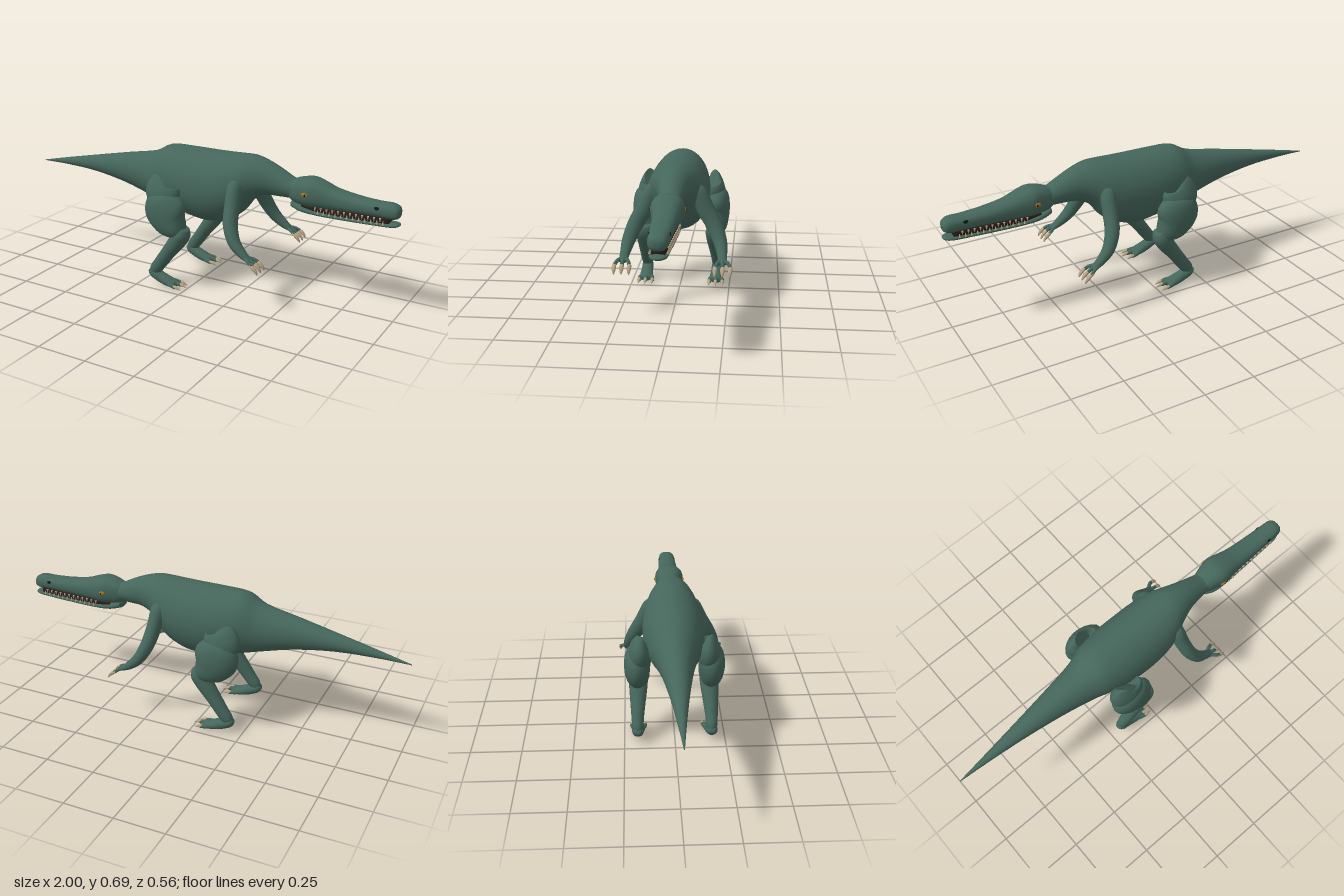
import * as THREE from 'three';

const mat = (name, color) => {
  const m = new THREE.MeshStandardMaterial({ color });
  m.name = name;
  return m;
};

// Skin an elliptical tube through rings [x, y, z, sideRadius, upRadius].
function loft(rings, { axis = null, sides = 20, steps = 4, power = 1 } = {}) {
  const n = rings.length, fine = [];
  for (let i = 0; i < n - 1; i++) {
    const [a, b, c, d] = [rings[Math.max(i - 1, 0)], rings[i], rings[i + 1], rings[Math.min(i + 2, n - 1)]];
    for (let k = 0; k < steps + (i === n - 2 ? 1 : 0); k++) {
      const t = k / steps;
      fine.push(b.map((_, q) => {
        const v = 0.5 * (2 * b[q] + (c[q] - a[q]) * t + (2 * a[q] - 5 * b[q] + 4 * c[q] - d[q]) * t * t
          + (3 * b[q] - a[q] - 3 * c[q] + d[q]) * t * t * t);
        return q > 2 ? Math.max(v, 0.0005) : v;
      }));
    }
  }
  const pos = [], idx = [], m = fine.length;
  const at = i => new THREE.Vector3(...fine[Math.min(Math.max(i, 0), m - 1)].slice(0, 3));
  const bend = v => Math.sign(v) * Math.pow(Math.abs(v), power);
  fine.forEach((r, i) => {
    const T = axis ? axis.clone() : at(i + 1).sub(at(i - 1)).normalize();
    const S = new THREE.Vector3(0, 0, 1).addScaledVector(T, -T.z).normalize();
    const U = S.clone().cross(T);
    for (let j = 0; j < sides; j++) {
      const a = j / sides * Math.PI * 2;
      const p = at(i).addScaledVector(S, bend(Math.cos(a)) * r[3]).addScaledVector(U, bend(Math.sin(a)) * r[4]);
      pos.push(p.x, p.y, p.z);
    }
  });
  for (let i = 0; i < m - 1; i++) for (let j = 0; j < sides; j++) {
    const a = i * sides + j, b = i * sides + (j + 1) % sides;
    idx.push(a, a + sides, b, b, a + sides, b + sides);
  }
  // End caps
  const s = pos.length / 3, last = (m - 1) * sides;
  pos.push(...at(0).toArray(), ...at(m - 1).toArray());
  for (let j = 0; j < sides; j++) {
    const k = (j + 1) % sides;
    idx.push(s, j, k, s + 1, last + k, last + j);
  }
  const g = new THREE.BufferGeometry();
  g.setAttribute('position', new THREE.Float32BufferAttribute(pos, 3));
  g.setIndex(idx);
  g.computeVertexNormals();
  return g;
}

// Loft along x from [x, top, bottom, halfWidth] stations.
const hull = (stations, power = 1, sides = 28) => loft(
  stations.map(([x, t, b, w]) => [x, (t + b) / 2, 0, w, (t - b) / 2]),
  { axis: new THREE.Vector3(1, 0, 0), sides, power });

export function createModel() {
  const skin = mat('greenSkin', 0x45665b);
  const bone = mat('clawBone', 0xb5a284);
  const amber = mat('amberEye', 0xa8741c);
  const black = mat('blackDetail', 0x141816);
  const mouthDark = mat('mouthDark', 0x2a1d1b);

  const model = new THREE.Group();
  model.name = 'reptile';
  const add = (parent, name, geo, material) => {
    const mesh = new THREE.Mesh(geo, material);
    mesh.name = name;
    parent.add(mesh);
    return mesh;
  };

  // Tail, trunk and neck in one skin
  add(model, 'body', hull([
    [-1, 0.478, 0.474, 0.002], [-0.85, 0.513, 0.477, 0.018], [-0.65, 0.557, 0.47, 0.042],
    [-0.45, 0.6, 0.44, 0.07], [-0.28, 0.635, 0.395, 0.1], [-0.19, 0.68, 0.37, 0.128],
    [-0.08, 0.685, 0.345, 0.147], [0.04, 0.686, 0.328, 0.151], [0.14, 0.688, 0.35, 0.146],
    [0.22, 0.692, 0.4, 0.13], [0.28, 0.692, 0.475, 0.102], [0.35, 0.675, 0.51, 0.075],
    [0.42, 0.645, 0.515, 0.06], [0.49, 0.612, 0.517, 0.05], [0.56, 0.61, 0.52, 0.045]
  ], 1, 36), skin);

  // Head
  const head = new THREE.Group();
  head.name = 'head';
  model.add(head);
  add(head, 'skull', hull([
    [0.455, 0.6, 0.53, 0.035], [0.49, 0.614, 0.507, 0.052], [0.53, 0.627, 0.498, 0.064],
    [0.58, 0.633, 0.495, 0.075], [0.64, 0.617, 0.497, 0.065], [0.7, 0.596, 0.499, 0.057],
    [0.8, 0.58, 0.503, 0.051], [0.9, 0.573, 0.505, 0.046], [0.96, 0.574, 0.502, 0.043],
    [0.99, 0.562, 0.508, 0.034], [1, 0.545, 0.522, 0.012]
  ], 0.82), skin);
  add(head, 'lowerJaw', hull([
    [0.485, 0.515, 0.48, 0.04], [0.54, 0.503, 0.467, 0.056], [0.62, 0.488, 0.463, 0.056],
    [0.75, 0.484, 0.462, 0.049], [0.88, 0.484, 0.464, 0.042], [0.96, 0.486, 0.466, 0.037],
    [0.99, 0.486, 0.47, 0.026], [1, 0.481, 0.475, 0.01]
  ], 0.82), skin);
  add(head, 'mouth', hull([
    [0.54, 0.51, 0.475, 0.045], [0.7, 0.51, 0.475, 0.044], [0.85, 0.512, 0.475, 0.036],
    [0.955, 0.512, 0.475, 0.028]
  ], 0.6), mouthDark);

  for (const s of [1, -1]) {
    const side = s > 0 ? 'left' : 'right';

    // Eyes and nostrils
    const ball = (name, r, m, x, y, z, sx, sy, sz) => {
      const b = add(head, name, new THREE.SphereGeometry(r, 16, 12), m);
      b.position.set(x, y, z * s);
      b.scale.set(sx, sy, sz);
    };
    ball(side + 'Eye', 0.013, amber, 0.567, 0.565, 0.071, 1.25, 0.85, 0.65);
    ball(side + 'Pupil', 0.006, black, 0.57, 0.565, 0.0775, 0.8, 1, 0.5);
    ball(side + 'Nostril', 0.011, black, 0.9, 0.55, 0.0415, 1.3, 0.85, 0.45);

    // Interlocking upper and lower teeth
    const toothGeo = new THREE.ConeGeometry(0.0055, 0.022, 6);
    for (let i = 0; i < 24; i++) {
      const upper = i % 2 === 0, x = 0.615 + i * 0.0138;
      const t = add(head, upper ? 'upperTooth' : 'lowerTooth', toothGeo, bone);
      t.position.set(x, upper ? 0.497 : 0.49, s * (0.056 - (x - 0.615) * 0.06));
      t.rotation.x = upper ? Math.PI : 0;
    }

    // Arm with three clawed fingers
    const arm = new THREE.Group();
    arm.name = side + 'Arm';
    model.add(arm);
    const limb = (parent, name, rings, m = skin, opts = {}) =>
      add(parent, name, loft(rings.map(([x, y, z, a, b]) => [x, y, z * s, a, b]), opts), m);
    limb(arm, 'armSkin', [
      [0.225, 0.595, 0.085, 0.012, 0.015], [0.228, 0.56, 0.105, 0.04, 0.036], [0.235, 0.48, 0.142, 0.042, 0.036],
      [0.25, 0.4, 0.188, 0.038, 0.034], [0.285, 0.33, 0.216, 0.032, 0.029],
      [0.33, 0.287, 0.226, 0.024, 0.022], [0.365, 0.264, 0.23, 0.021, 0.013], [0.38, 0.257, 0.231, 0.018, 0.009]
    ]);
    for (const f of [-1, 0, 1]) {
      const z = 0.232 + f * 0.035;
      limb(arm, 'finger', [
        [0.355, 0.267, 0.23 + f * 0.008, 0.009, 0.008], [0.38, 0.262, 0.231 + f * 0.024, 0.009, 0.008],
        [0.402, 0.248, z, 0.009, 0.008]
      ], skin, { sides: 10 });
      limb(arm, 'fingerClaw', [
        [0.393, 0.253, z, 0.007, 0.006], [0.412, 0.242, z, 0.0105, 0.0085],
        [0.428, 0.226, z, 0.008, 0.006], [0.435, 0.212, z, 0.002, 0.002]
      ], bone, { sides: 10 });
    }

    // Hind leg
    const leg = new THREE.Group();
    leg.name = side + 'Leg';
    model.add(leg);
    limb(leg, 'haunch', [
      [-0.135, 0.527, 0.16, 0.036, 0.06], [-0.137, 0.52, 0.163, 0.046, 0.083],
      [-0.135, 0.48, 0.165, 0.057, 0.092], [-0.125, 0.43, 0.168, 0.055, 0.08]
    ]);
    limb(leg, 'thigh', [
      [-0.14, 0.48, 0.165, 0.045, 0.06], [-0.132, 0.45, 0.175, 0.062, 0.095], [-0.113, 0.4, 0.181, 0.064, 0.112],
      [-0.085, 0.35, 0.18, 0.061, 0.095], [-0.05, 0.315, 0.178, 0.054, 0.06], [-0.02, 0.29, 0.177, 0.035, 0.028]
    ]);
    limb(leg, 'shin', [
      [-0.005, 0.325, 0.176, 0.03, 0.02], [-0.02, 0.295, 0.176, 0.047, 0.04], [-0.05, 0.25, 0.177, 0.046, 0.042],
      [-0.095, 0.19, 0.18, 0.039, 0.036], [-0.145, 0.12, 0.183, 0.031, 0.033],
      [-0.175, 0.08, 0.183, 0.027, 0.03], [-0.19, 0.055, 0.183, 0.016, 0.015]
    ]);
    limb(leg, 'foot', [
      [-0.205, 0.075, 0.183, 0.015, 0.014], [-0.185, 0.063, 0.183, 0.028, 0.026], [-0.14, 0.042, 0.182, 0.03, 0.027],
      [-0.09, 0.026, 0.181, 0.034, 0.022], [-0.055, 0.023, 0.181, 0.026, 0.014]
    ]);
    for (const f of [-1, 0, 1]) {
      const z = 0.18 + f * 0.034, dx = f ? -0.015 : 0, dy = f ? -0.004 : 0;
      limb(leg, 'toe', [
        [-0.095, 0.027, 0.181 + f * 0.015, 0.013, 0.013], [-0.06 + dx, 0.028 + dy, 0.18 + f * 0.027, 0.013, 0.012],
        [-0.028 + dx, 0.022 + dy, z, 0.01, 0.009]
      ], skin, { sides: 10 });
      limb(leg, 'toeClaw', [
        [-0.04 + dx, 0.025 + dy, z, 0.008, 0.008], [-0.022 + dx, 0.024 + dy, z, 0.009, 0.008],
        [0.003 + dx, 0.015 + dy, z, 0.002, 0.002]
      ], bone, { sides: 10 });
    }
  }
  return model;
}
